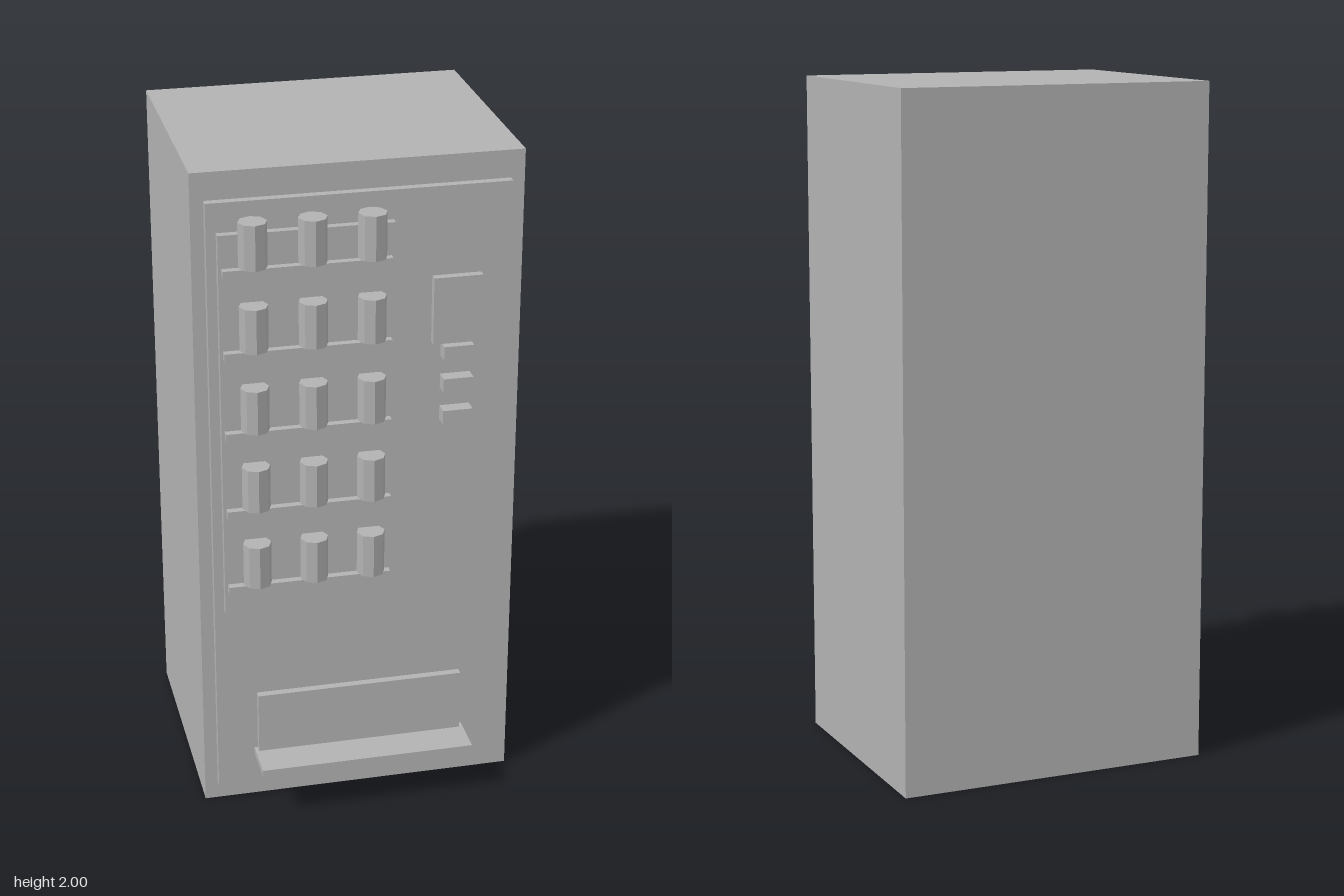
import * as THREE from 'three';

export function createModel() {
  const machine = new THREE.Group();
  machine.name = 'vendingMachine';
  const grey = new THREE.MeshStandardMaterial({ color: 0xb2b2b2, flatShading: true });
  grey.name = 'plain grey';

  // Box given by its extents on each axis
  function box(name, [x0, x1], [y0, y1], [z0, z1]) {
    const mesh = new THREE.Mesh(new THREE.BoxGeometry(x1 - x0, y1 - y0, z1 - z0), grey);
    mesh.position.set((x0 + x1) / 2, (y0 + y1) / 2, (z0 + z1) / 2);
    mesh.name = name;
    machine.add(mesh);
  }

  // Cabinet with raised door and display window
  box('cabinet', [-0.471, 0.471], [0, 2], [-0.456, 0.298]);
  box('door', [-0.433, 0.431], [0.055, 1.919], [0.298, 0.323]);
  box('displayWindow', [-0.405, 0.092], [0.658, 1.833], [0.323, 0.346]);

  // Shelves, each carrying three eight-sided cans
  const canGeometry = new THREE.CylinderGeometry(0.041, 0.041, 0.131, 8);
  for (let row = 0; row < 5; row++) {
    const lift = row * 0.2445;
    box('shelf', [-0.396, 0.081], [0.735 + lift, 0.759 + lift], [0.346, 0.368]);
    for (const x of [-0.313, -0.146, 0.021]) {
      const can = new THREE.Mesh(canGeometry, grey);
      can.name = 'can';
      can.position.set(x, 0.834 + lift, 0.371);
      machine.add(can);
    }
  }

  // Payment panel with its slot and buttons
  box('paymentPanel', [0.204, 0.346], [1.457, 1.657], [0.323, 0.347]);
  for (const [i, y] of [1.433, 1.334, 1.235].entries()) {
    box(i ? 'button' : 'coinSlot', [0.232, 0.319], [y - 0.021, y + 0.021], [0.323, 0.365]);
  }

  // Pick-up flap and tray
  box('pickupFlap', [-0.312, 0.308], [0.178, 0.369], [0.323, 0.346]);
  box('pickupTray', [-0.322, 0.32], [0.156, 0.178], [0.323, 0.455]);

  return machine;
}
